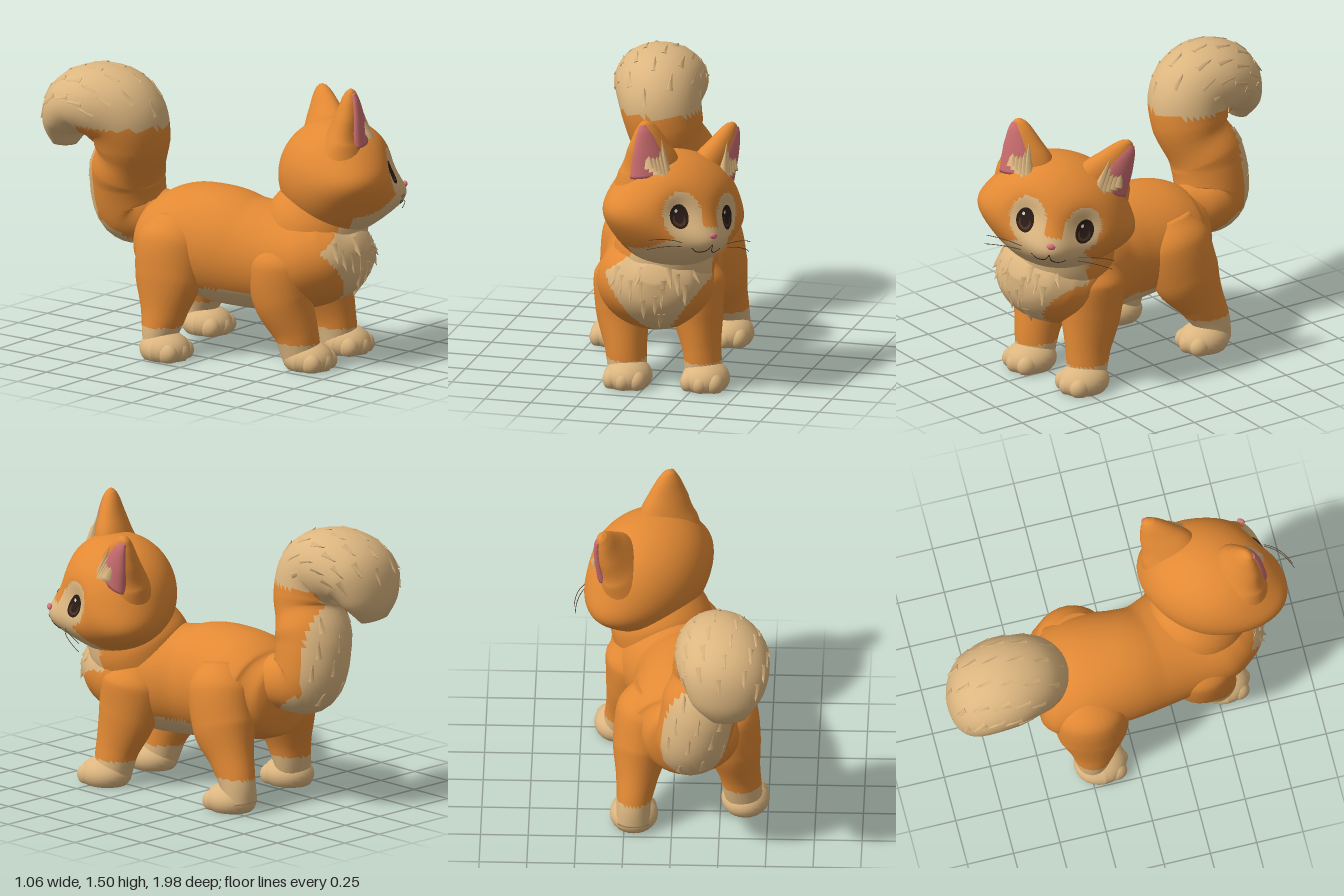
import * as THREE from 'three';
import { mergeGeometries, mergeVertices } from 'three/addons/utils/BufferGeometryUtils.js';

const V3 = (x, y, z) => new THREE.Vector3(x, y, z);
const mat = (name, color) => {
  const m = new THREE.MeshStandardMaterial({ color });
  m.name = name;
  return m;
};

// Smooth loft through sections [x, y, z, radius across, radius in the bending plane]
function loft(sections, rings = 28, cols = 28) {
  const path = new THREE.CatmullRomCurve3(sections.map(s => V3(s[0], s[1], s[2])));
  const size = new THREE.CatmullRomCurve3(sections.map(s => V3(s[3], s[4], 0)));
  const pos = [], idx = [];
  for (let i = 0; i <= rings; i++) {
    const t = i / rings, c = path.getPoint(t), r = size.getPoint(t), T = path.getTangent(t);
    const U = V3(1, 0, 0).addScaledVector(T, -T.x).normalize(), V = T.clone().cross(U);
    for (let j = 0; j < cols; j++) {
      const a = j / cols * Math.PI * 2;
      const p = c.clone().addScaledVector(U, Math.cos(a) * r.x).addScaledVector(V, Math.sin(a) * r.y);
      pos.push(p.x, p.y, p.z);
    }
  }
  const first = (rings + 1) * cols, end = rings * cols;
  for (const k of [0, 1]) pos.push(...path.getPoint(k).toArray());
  for (let j = 0; j < cols; j++) {
    const n = (j + 1) % cols;
    for (let i = 0; i < rings; i++) {
      const a = i * cols + j, b = i * cols + n;
      idx.push(a, b, a + cols, b, b + cols, a + cols);
    }
    idx.push(first, n, j, first + 1, end + j, end + n);
  }
  const g = new THREE.BufferGeometry();
  g.setAttribute('position', new THREE.Float32BufferAttribute(pos, 3));
  g.setIndex(idx);
  g.computeVertexNormals();
  return g;
}

// Splits triangles into two material groups by a rule on their centre
function paint(geo, rule) {
  const g = geo.clone(), p = g.attributes.position, ix = g.index.array, sets = [[], []], v = V3(0, 0, 0);
  for (let i = 0; i < ix.length; i += 3) {
    const c = V3(0, 0, 0);
    for (let k = 0; k < 3; k++) c.add(v.fromBufferAttribute(p, ix[i + k]));
    c.divideScalar(3);
    sets[rule(c.x, c.y, c.z) ? 1 : 0].push(ix[i], ix[i + 1], ix[i + 2]);
  }
  g.setIndex(sets[0].concat(sets[1]));
  g.addGroup(0, sets[0].length, 0);
  g.addGroup(sets[0].length, sets[1].length, 1);
  return g;
}

// Pointed lock of fur
function tuft(p, dir, len, r) {
  const g = new THREE.ConeGeometry(r, len, 6).translate(0, len * 0.4, 0);
  g.applyQuaternion(new THREE.Quaternion().setFromUnitVectors(V3(0, 1, 0), dir.clone().normalize()));
  return g.translate(p.x, p.y, p.z);
}

// Scatters flat-lying tufts over the part of a surface picked by a rule
function fur(geo, rule, step, flow, len, r) {
  const P = geo.attributes.position, N = geo.attributes.normal, out = [];
  for (let i = 0; i < P.count - 60; i += step) {
    const p = V3(0, 0, 0).fromBufferAttribute(P, i), n = V3(0, 0, 0).fromBufferAttribute(N, i);
    if (!rule(p.x, p.y, p.z)) continue;
    const d = flow(P, i, p).normalize();
    d.addScaledVector(n, 0.22 - d.dot(n));
    out.push(tuft(p.addScaledVector(n, -r * 0.7), d, len, r));
  }
  return mergeGeometries(out);
}

// Head form: unit sphere pushed to cheeks, full muzzle and shallow eye sockets
const HEAD_Y = 0.303;
function warp(v) {
  const { x, y, z } = v, bell = (a, b) => Math.exp(-a * a - b * b);
  const cheek = 1 + 0.15 * Math.exp(-(((y + 0.2) / 0.4) ** 2)) * x * x;
  const front = z > 0 ? 0.088 * bell(x / 0.42, (y + 0.42) / 0.34) - 0.045 * bell((Math.abs(x) - 0.42) / 0.22, (y - 0.08) / 0.3) : 0;
  return v.set(0.37 * x * cheek, HEAD_Y * y * (y < 0 ? 1.05 : 1), 0.303 * z + front);
}
function warpAll(g) {
  const p = g.attributes.position, v = V3(0, 0, 0);
  for (let i = 0; i < p.count; i++) {
    warp(v.fromBufferAttribute(p, i));
    p.setXYZ(i, v.x, v.y, v.z);
  }
  return g;
}
// Oval painted on the head surface
function oval(x, y, rx, ry, lift) {
  const g = new THREE.RingGeometry(0, 1, 28, 5), p = g.attributes.position;
  for (let i = 0; i < p.count; i++) {
    const a = x + p.getX(i) * rx, b = y + p.getY(i) * ry;
    p.setXYZ(i, a, b, Math.sqrt(1 - a * a - b * b));
  }
  warpAll(g).translate(0, 0, lift);
  g.computeVertexNormals();
  return g;
}

export function createModel() {
  const orange = mat('orange fur', 0xe28934), cream = mat('cream fur', 0xdcb680);
  const pink = mat('inner ear pink', 0xcc6e70), dark = mat('dark eye', 0x2a1c16);
  const brown = mat('brown iris', 0x4e3220), nosePink = mat('nose pink', 0xd8747c);
  const white = mat('eye highlight', 0xf4ece0), whiskerMat = mat('whisker', 0x57432f);
  const coat = [orange, cream], cat = new THREE.Group();
  cat.name = 'cat';
  const add = (name, geo, m, parent = cat) => {
    const mesh = new THREE.Mesh(geo, m);
    mesh.name = name;
    parent.add(mesh);
  };

  // Torso with cream bib and belly
  const isBib = (x, y, z) => z > 0.46 && y > 0.28 + Math.abs(x - 0.09) * 1.35 && y < 0.8 + x * 0.75;
  const torso = loft([
    [-0.06, 0.58, -0.49, 0.06, 0.07], [-0.06, 0.58, -0.46, 0.19, 0.19], [-0.07, 0.58, -0.37, 0.29, 0.24],
    [-0.07, 0.60, -0.2, 0.31, 0.29], [-0.07, 0.585, 0, 0.29, 0.31], [-0.05, 0.565, 0.15, 0.28, 0.295],
    [0, 0.56, 0.33, 0.30, 0.285], [0.04, 0.58, 0.5, 0.31, 0.26], [0.07, 0.62, 0.62, 0.27, 0.225],
    [0.09, 0.66, 0.7, 0.2, 0.155], [0.10, 0.69, 0.755, 0.06, 0.05]], 72, 56);
  add('torso', paint(torso, (x, y, z) => isBib(x, y, z) || (y < 0.4 && z > -0.2 && z < 0.5)), coat);
  add('bibFur', fur(torso, (x, y, z) => z > 0.54 && y < 0.72 && isBib(x, y - 0.1, z), 23, () => V3(0, -1, 0.1), 0.11, 0.036), cream);
  const neck = loft([[0.04, 0.6, 0.40, 0.26, 0.24], [0.08, 0.73, 0.46, 0.27, 0.27], [0.13, 0.9, 0.52, 0.22, 0.22]], 40, 40);
  add('neck', paint(neck, (x, y, z) => z > 0.48 && y < 0.8 + x * 0.75), coat);

  // Legs, each ending in a flat-soled paw with toes
  const legs = {
    frontLeftLeg: { sock: 0.15, paw: [0.305, 0.48], s: [[0.19, 0.68, 0.36, 0.1, 0.13], [0.20, 0.55, 0.37, 0.17, 0.19], [0.235, 0.38, 0.39, 0.135, 0.17], [0.27, 0.2, 0.43, 0.10, 0.125], [0.29, 0.05, 0.45, 0.10, 0.1]] },
    frontRightLeg: { sock: 0.15, paw: [-0.10, 0.54], s: [[-0.13, 0.68, 0.4, 0.1, 0.13], [-0.15, 0.55, 0.4, 0.17, 0.19], [-0.16, 0.38, 0.42, 0.145, 0.17], [-0.13, 0.2, 0.48, 0.11, 0.125], [-0.11, 0.05, 0.51, 0.10, 0.1]] },
    hindLeftLeg: { sock: 0.19, paw: [0.20, -0.35], s: [[0.1, 0.75, -0.19, 0.1, 0.12], [0.14, 0.61, -0.215, 0.16, 0.19], [0.165, 0.43, -0.265, 0.15, 0.185], [0.185, 0.28, -0.34, 0.11, 0.13], [0.2, 0.15, -0.4, 0.09, 0.1], [0.2, 0.05, -0.42, 0.09, 0.085]] },
    hindRightLeg: { sock: 0.18, paw: [-0.38, -0.19], s: [[-0.22, 0.74, -0.22, 0.1, 0.13], [-0.27, 0.6, -0.22, 0.18, 0.2], [-0.315, 0.42, -0.215, 0.15, 0.19], [-0.35, 0.25, -0.22, 0.11, 0.13], [-0.37, 0.12, -0.23, 0.10, 0.09], [-0.38, 0.05, -0.22, 0.09, 0.08]] },
  };
  const flatSole = g => {
    const p = g.attributes.position;
    for (let i = 0; i < p.count; i++) p.setY(i, Math.max(p.getY(i), 0.008));
    g.computeVertexNormals();
    return g;
  };
  for (const [name, { s, sock, paw: [px, pz] }] of Object.entries(legs)) {
    const leg = new THREE.Group();
    leg.name = name;
    cat.add(leg);
    add('limb', paint(loft(s, 40, 28), (x, y) => y < sock), coat, leg);
    const ball = (rx, ry, rz, x, y, z) => flatSole(new THREE.SphereGeometry(1, 24, 16).scale(rx, ry, rz).translate(x, y, z));
    add('paw', ball(0.127, 0.095, 0.14, px, 0.06, pz), cream, leg);
    for (const k of [-1, 0, 1]) add('toe', ball(0.05, 0.058, 0.06, px + k * 0.068, 0.052, pz + 0.088 - 0.02 * k * k), cream, leg);
  }

  // Curled bushy tail
  const isPale = (x, y, z) => y > 1.2 || z < -0.71 || (z < -0.45 && y < 0.52 - (z + 0.47) * 0.64);
  const tail = loft([
    [-0.06, 0.68, -0.38, 0.12, 0.13], [-0.08, 0.68, -0.5, 0.16, 0.16], [-0.11, 0.72, -0.60, 0.19, 0.2],
    [-0.15, 0.9, -0.61, 0.2, 0.2], [-0.2, 1.08, -0.54, 0.2, 0.2], [-0.24, 1.24, -0.56, 0.22, 0.22],
    [-0.27, 1.30, -0.68, 0.245, 0.205], [-0.29, 1.27, -0.81, 0.235, 0.18], [-0.30, 1.16, -0.885, 0.185, 0.115],
    [-0.31, 1.05, -0.9, 0.09, 0.05]], 60, 40);
  add('tail', paint(tail, isPale), coat);
  add('tailFur', fur(tail, (x, y, z) => isPale(x, y, z) && (y > 1.27 || (z < -0.7 && y < 1.02)), 11,
    (P, i, p) => V3(0, 0, 0).fromBufferAttribute(P, i + 40).sub(p), 0.095, 0.03), cream);

  // Head, turned to its left and tilted
  const head = new THREE.Group();
  head.name = 'head';
  head.position.set(0.15, 1.005, 0.54);
  head.rotation.set(0, 0.92, -0.19, 'YXZ');
  cat.add(head);
  let skull = new THREE.SphereGeometry(1, 96, 72);
  skull.deleteAttribute('uv');
  skull.deleteAttribute('normal');
  skull = mergeVertices(warpAll(skull), 1e-5);
  skull.computeVertexNormals();
  add('skull', paint(skull, (X, Y, Z) => {
    const x = Math.abs(X) / 0.375, y = Y / HEAD_Y;
    const patch = x > 0.13 && ((x - 0.39) / 0.26) ** 2 + ((y - 0.03) / 0.4) ** 2 < 1;
    return Z > 0 && (patch || y < Math.min(-0.12, 0.26 - 1.35 * x));
  }), coat, head);

  for (const s of [1, -1]) {
    // Eye
    const eye = new THREE.Group();
    eye.name = s > 0 ? 'leftEye' : 'rightEye';
    head.add(eye);
    add('eyeball', oval(s * 0.42, 0.01, 0.12, 0.2, 0.005), dark, eye);
    add('iris', oval(s * 0.42, -0.05, 0.08, 0.1, 0.007), brown, eye);
    add('pupil', oval(s * 0.42, -0.01, 0.06, 0.1, 0.0085), dark, eye);
    add('highlight', oval(s * 0.42 - 0.04, 0.09, 0.02, 0.032, 0.0095), white, eye);

    // Ear flowing up from the cheek, turned outward, with pink hollow and pale tuft
    const ear = new THREE.Group();
    ear.name = s > 0 ? 'leftEar' : 'rightEar';
    ear.position.set(s * 0.22, -0.01, 0.025);
    ear.rotation.y = s * 0.4;
    head.add(ear);
    const shell = [[0.0, 0.02, -0.06, 0.165, 0.16], [-0.012, 0.2, -0.03, 0.165, 0.11], [0.027, 0.33, 0, 0.113, 0.072],
      [0.055, 0.42, 0.015, 0.062, 0.044], [0.066, 0.458, 0.02, 0.032, 0.024], [0.068, 0.47, 0.02, 0.01, 0.008]];
    add('earShell', loft(shell.map(([x, y, z, a, b]) => [s * x, y, z, a, b])), orange, ear);
    add('innerEar', loft(shell.slice(1, 5).map(([x, y, z, a, b]) => [s * (x + 0.015), y - 0.01, z + b * 0.62, a * 0.68, b * 0.5])), pink, ear);
    add('earTuft', mergeGeometries([0, 1, 2, 3, 4].map(k =>
      tuft(V3(s * (-0.07 + k * 0.024), 0.2 + k * 0.01, 0.08), V3(s * 0.25, 1, -0.14 - 0.03 * k), 0.21 - k * 0.02, 0.036))), cream, ear);

    // Whiskers and mouth corner
    for (let k = 0; k < 2; k++) {
      const c = new THREE.QuadraticBezierCurve3(V3(s * 0.15, -0.13 - k * 0.02, 0.3), V3(s * 0.25, -0.1 - k * 0.04, 0.31), V3(s * 0.34, -0.13 - k * 0.05, 0.25));
      add('whisker', new THREE.TubeGeometry(c, 12, 0.002, 5), whiskerMat, head);
    }
    const lip = new THREE.CatmullRomCurve3([[0, -0.38], [0.05, -0.5], [0.16, -0.54], [0.25, -0.48]].map(([x, y]) =>
      warp(V3(s * x, y, Math.sqrt(1 - x * x - y * y)))));
    add('mouth', new THREE.TubeGeometry(lip, 20, 0.003, 5), dark, head);
  }
  add('nose', new THREE.SphereGeometry(1, 20, 14).scale(0.023, 0.016, 0.014).translate(0, -0.075, 0.364), nosePink, head);
  return cat;
}
